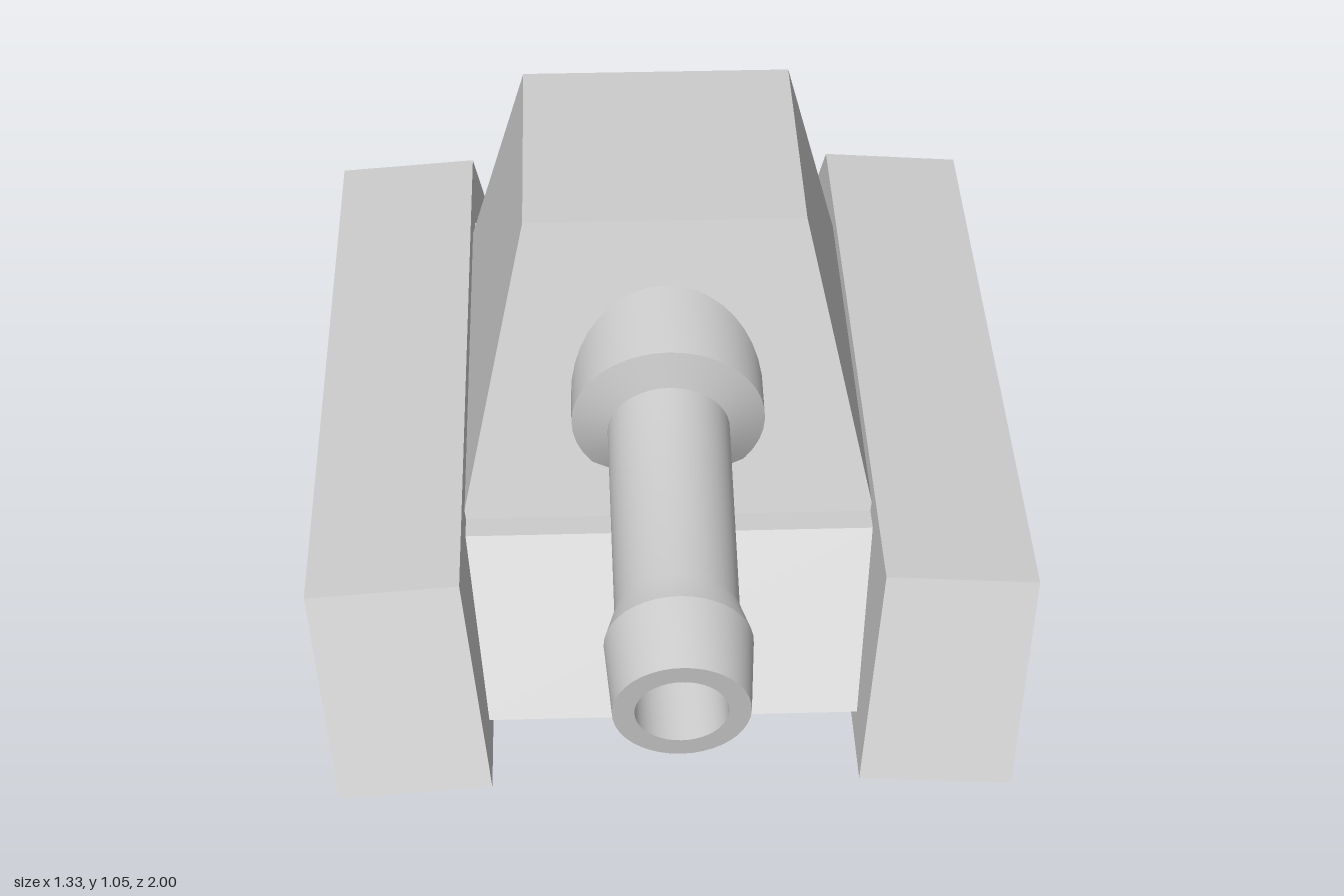
import * as THREE from 'three';
import { toCreasedNormals } from 'three/addons/utils/BufferGeometryUtils.js';

const paint = new THREE.MeshStandardMaterial({ color: 0xcccccc });
paint.name = 'light grey';

function add(group, name, geometry) {
  const mesh = new THREE.Mesh(geometry, paint);
  mesh.name = name;
  group.add(mesh);
  return mesh;
}

// Tapered block; each level is { y, x: half width, z0: back, z1: front }
function taperedBlock(bottom, top) {
  const g = new THREE.BoxGeometry(2, 2, 2).toNonIndexed();
  const p = g.attributes.position;
  for (let i = 0; i < p.count; i++) {
    const level = p.getY(i) > 0 ? top : bottom;
    p.setXYZ(i, p.getX(i) * level.x, level.y, p.getZ(i) > 0 ? level.z1 : level.z0);
  }
  g.computeVertexNormals();
  return g;
}

// Fender: side profile with a wheel opening, leaning outward with height
function fenderGeometry(side) {
  const profile = [
    [0.745, 0.205], [0.58, 0.545], [-0.84, 0.545], [-1, 0.205],
    [-0.745, 0.205], [-0.66, 0.405], [0.41, 0.405], [0.49, 0.205],
  ];
  const shape = new THREE.Shape(profile.map(([z, y]) => new THREE.Vector2(z, y)));
  const g = new THREE.ExtrudeGeometry(shape, { depth: 1, bevelEnabled: false });
  g.rotateY(-Math.PI / 2);
  const p = g.attributes.position;
  for (let i = 0; i < p.count; i++) {
    const outer = side > 0 ? 1 + p.getX(i) : -p.getX(i);
    const y = p.getY(i);
    const x = 0.615 + 0.05 * (y - 0.205) / 0.34 - 0.28 * (1 - outer);
    p.setXYZ(i, side * x, y + 0.021 * (1 - outer), p.getZ(i));
  }
  g.computeVertexNormals();
  return g;
}

export function createModel() {
  const model = new THREE.Group();
  model.name = 'tank';

  // Body
  add(model, 'hull', taperedBlock(
    { y: 0.265, x: 0.385, z0: -0.875, z1: 0.61 },
    { y: 0.525, x: 0.385, z0: -0.655, z1: 0.39 }));
  add(model, 'turret', taperedBlock(
    { y: 0.525, x: 0.385, z0: -0.6, z1: 0.34 },
    { y: 1.05, x: 0.26, z0: -0.39, z1: 0.135 }));

  // Fenders and wheels on both sides
  for (const side of [1, -1]) {
    const label = side > 0 ? 'left' : 'right';
    add(model, label + 'Fender', fenderGeometry(side));
    [0.4, -0.125, -0.645].forEach((z, i) => {
      const wheel = new THREE.CylinderGeometry(0.26, 0.26, 0.16, 48);
      wheel.rotateZ(Math.PI / 2);
      add(model, label + 'Wheel' + (i + 1), wheel).position.set(side * 0.47, 0.26, z);
    });
  }

  // Cannon: collar, barrel, flared muzzle and hollow bore, tilted slightly down
  const profile = [
    [0, -1], [0.178, -1], [0.178, -0.67], [0.112, -0.645], [0.109, -0.212],
    [0.129, -0.145], [0.118, 0], [0.08, 0], [0.08, -0.18], [0, -0.18],
  ].map(([r, y]) => new THREE.Vector2(r, y));
  const cannon = toCreasedNormals(new THREE.LatheGeometry(profile, 40), 0.35);
  cannon.rotateX(Math.PI / 2 + 0.166);
  add(model, 'cannon', cannon).position.set(0, 0.622, 0.98);

  return model;
}
